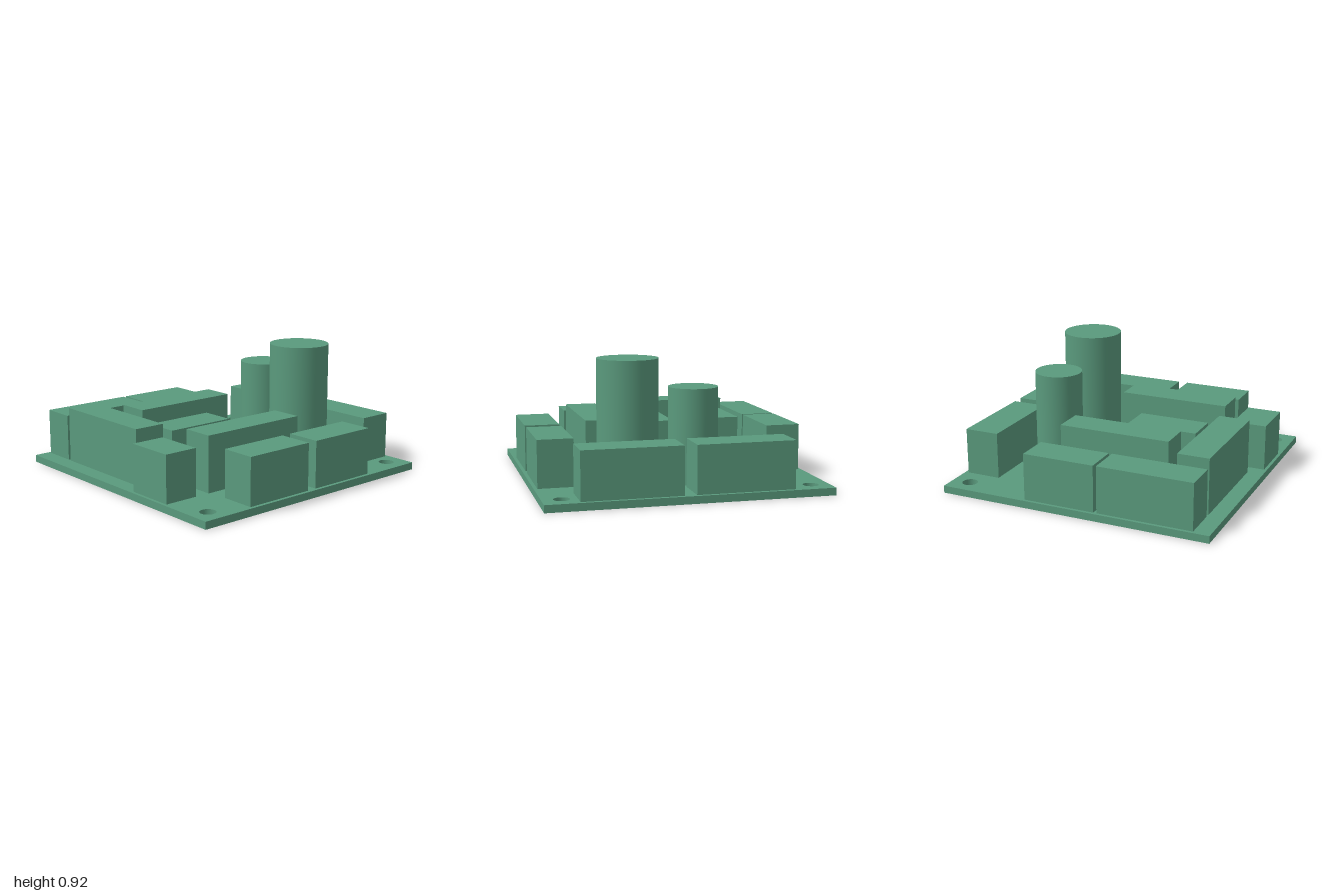
import * as THREE from 'three';

const BOARD = 0.053;
const LOW = 0.39;
const TALL = 0.455;

export function createModel() {
  const group = new THREE.Group();
  const green = new THREE.MeshStandardMaterial({ color: 0x5a9a7d });
  green.name = 'board green';

  const add = (name, geometry, x, y, z) => {
    const mesh = new THREE.Mesh(geometry, green);
    mesh.name = name;
    mesh.position.set(x, y, z);
    group.add(mesh);
    return mesh;
  };

  // Square board with mounting holes (shape y becomes -z)
  const outline = new THREE.Shape([[-1, -1], [1, -1], [1, 1], [-1, 1]].map(([x, y]) => new THREE.Vector2(x, y)));
  for (const [x, z] of [[0.865, -0.868], [0.865, 0.865], [-0.868, 0.865], [0.115, 0.147]]) {
    outline.holes.push(new THREE.Path().absarc(x, -z, 0.055, 0, Math.PI * 2, true));
  }
  const board = new THREE.ExtrudeGeometry(outline, { depth: BOARD, bevelEnabled: false, curveSegments: 32 });
  board.rotateX(-Math.PI / 2);
  add('circuitBoard', board, 0, 0, 0);

  // Box components: name, x range, z range, top height
  const blocks = [
    ['backConnectorRight', -0.88, -0.19, -0.978, -0.728, LOW],
    ['backConnectorLeft', -0.167, 0.358, -0.978, -0.728, LOW],
    ['leftConnectorBack', 0.721, 0.974, -0.715, -0.02, LOW],
    ['leftConnectorFront', 0.721, 0.974, 0.065, 0.76, LOW],
    ['frontConnectorLeft', 0, 0.53, 0.722, 0.975, LOW],
    ['frontConnectorRight', -0.6, -0.072, 0.722, 0.975, LOW],
    ['rightConnector', -0.978, -0.727, 0.22, 0.578, LOW],
    ['centreRelay', -0.567, -0.037, -0.13, 0.123, LOW],
    ['rightModule', -0.882, -0.652, -0.7, 0.128, TALL],
    ['backModule', -0.518, 0.31, -0.52, -0.288, TALL],
    ['frontModule', -0.62, 0.213, 0.348, 0.58, TALL],
  ];
  for (const [name, x0, x1, z0, z1, top] of blocks) {
    add(name, new THREE.BoxGeometry(x1 - x0, top - BOARD, z1 - z0),
      (x0 + x1) / 2, (top + BOARD) / 2, (z0 + z1) / 2);
  }

  // Upright cylindrical capacitors: name, x, z, radius, top height
  for (const [name, x, z, r, top] of [
    ['largeCapacitor', 0.466, 0.333, 0.215, 0.922],
    ['smallCapacitor', 0.531, -0.118, 0.174, 0.72],
  ]) {
    add(name, new THREE.CylinderGeometry(r, r, top - BOARD, 64), x, (top + BOARD) / 2, z);
  }

  return group;
}
